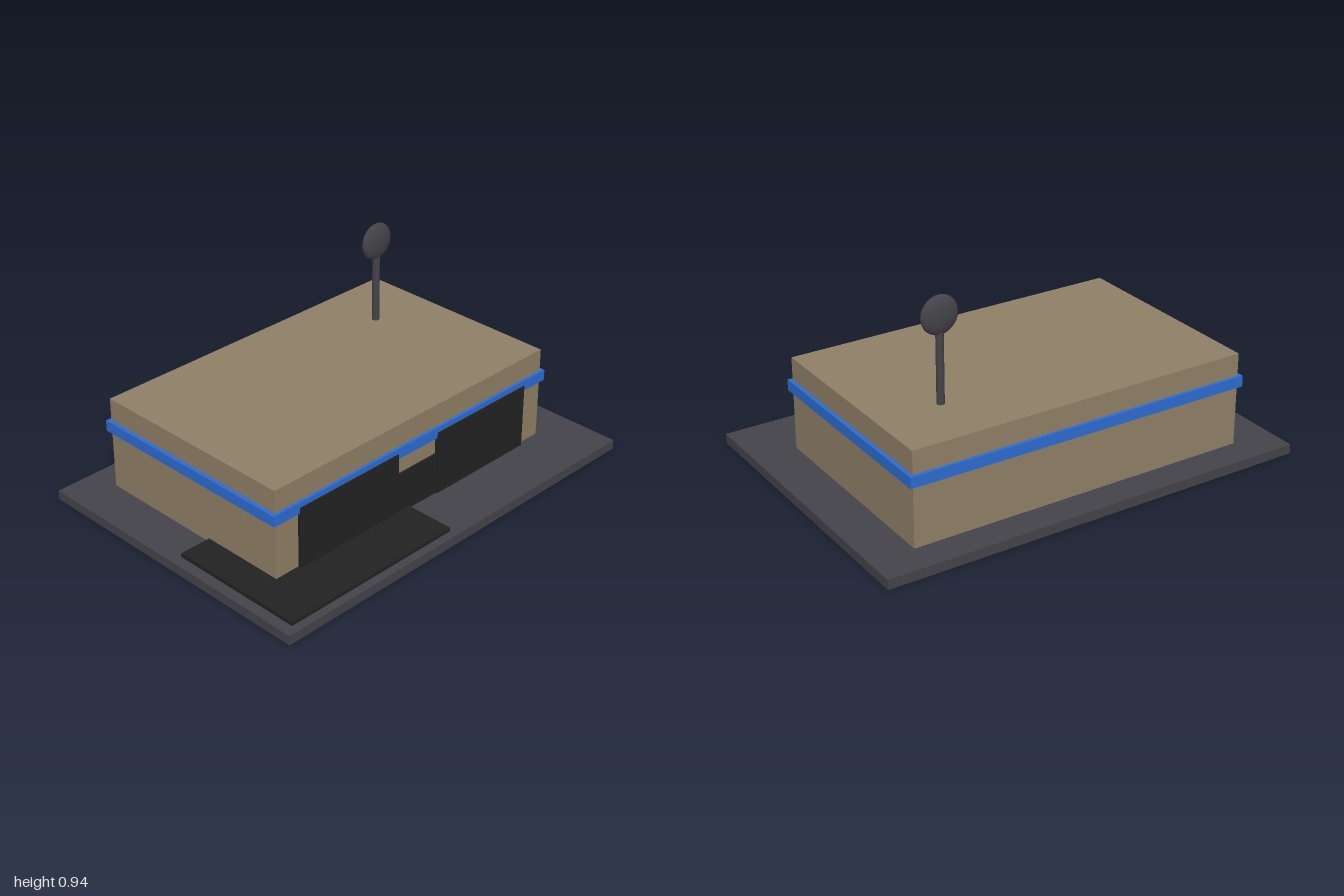
import * as THREE from 'three';

export function createModel() {
  const model = new THREE.Group();
  model.name = 'building';

  const material = (name, color) => {
    const m = new THREE.MeshStandardMaterial({ color });
    m.name = name;
    return m;
  };
  const tan = material('tan wall', 0x8f8066);
  const blue = material('blue trim', 0x2d6cd2);
  const grey = material('dark grey', 0x444349);
  const black = material('near black', 0x222222);

  const add = (name, geometry, mat) => {
    const mesh = new THREE.Mesh(geometry, mat);
    mesh.name = name;
    model.add(mesh);
    return mesh;
  };
  // Box given by its extents along each axis
  const box = (name, mat, [x0, x1], [y0, y1], [z0, z1]) =>
    add(name, new THREE.BoxGeometry(x1 - x0, y1 - y0, z1 - z0), mat)
      .position.set((x0 + x1) / 2, (y0 + y1) / 2, (z0 + z1) / 2);

  // Ground slab and paved area at the front right corner
  box('baseSlab', grey, [-1, 1], [0, 0.044], [-0.713, 0.713]);
  box('pavedArea', black, [-0.95, -0.05], [0.044, 0.061], [0.03, 0.675]);

  // Main block with a trim band standing slightly proud
  box('mainBlock', tan, [-0.8, 0.8], [0.044, 0.473], [-0.571, 0.429]);
  box('trimBand', blue, [-0.818, 0.818], [0.319, 0.369], [-0.585, 0.442]);

  // Two large bay doors and the lower entrance between them
  for (const side of [-1, 1]) {
    const xs = [0.12 * side, 0.678 * side].sort((a, b) => a - b);
    box(side < 0 ? 'rightBayDoor' : 'leftBayDoor', black, xs, [0.044, 0.345], [0.42, 0.446]);
  }
  box('entranceDoor', black, [-0.12, 0.12], [0.044, 0.239], [0.42, 0.438]);

  // Roof mast carrying a flattened dish
  add('mast', new THREE.CylinderGeometry(0.017, 0.017, 0.36, 16), grey)
    .position.set(0.5, 0.65, -0.286);
  const dish = add('dish', new THREE.SphereGeometry(0.085, 24, 16), grey);
  dish.scale.z = 0.35;
  dish.position.set(0.5, 0.859, -0.286);

  return model;
}
